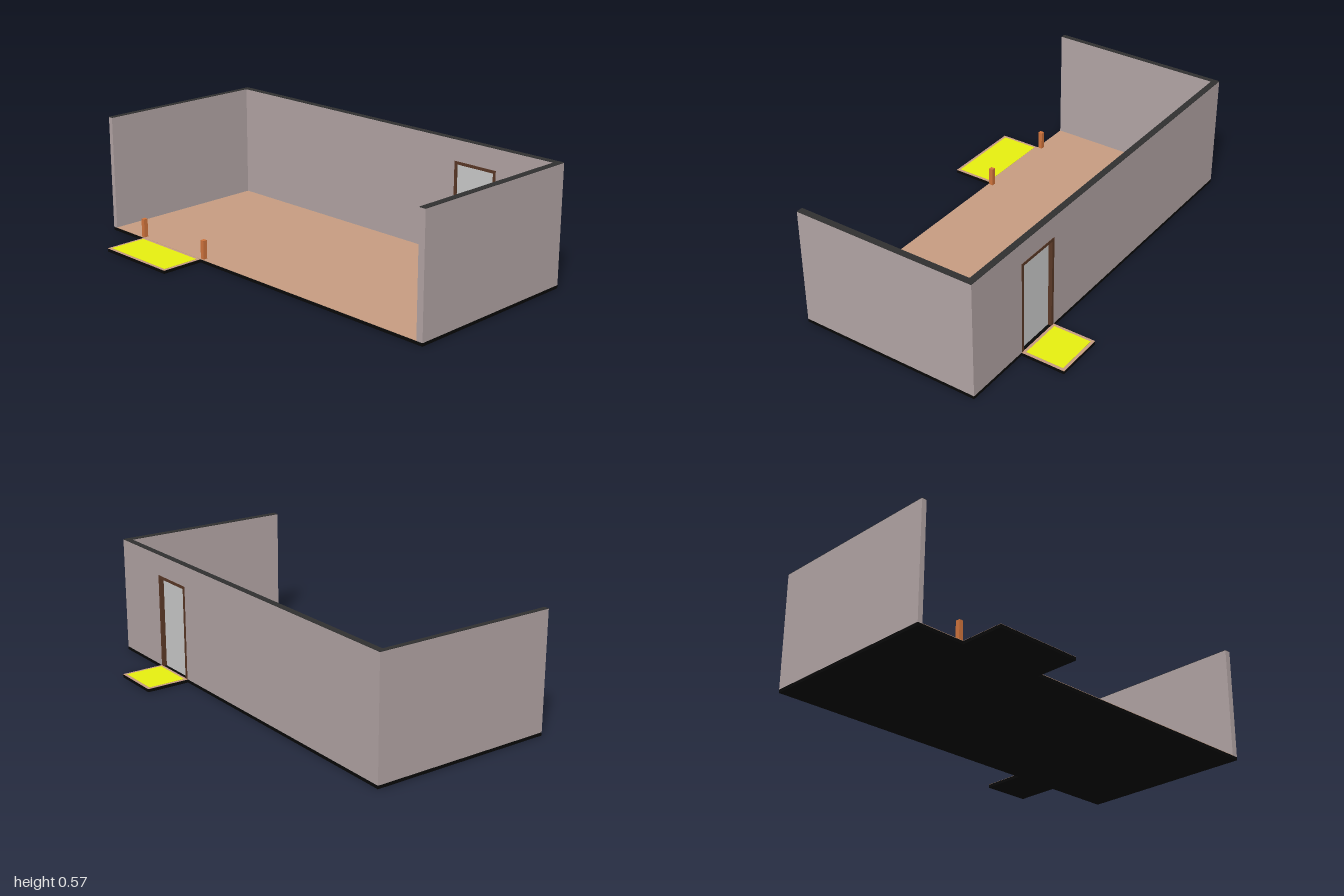
import * as THREE from 'three';

const mat = (color) => new THREE.MeshStandardMaterial({ color });
const M = {
  wall: mat(0xb3a5a5), cap: mat(0x303030), base: mat(0x080808), floor: mat(0xc79d82),
  yellow: mat(0xe8f010), frame: mat(0x5a3826), door: mat(0xcccccc),
  handle: mat(0x46504f), post: mat(0xd0743c),
};

export function createModel() {
  const root = new THREE.Group();

  // Box given by its min and max on every axis
  const box = (name, m, x0, x1, y0, y1, z0, z1, parent = root) => {
    const mesh = new THREE.Mesh(new THREE.BoxGeometry(x1 - x0, y1 - y0, z1 - z0), m);
    mesh.position.set((x0 + x1) / 2, (y0 + y1) / 2, (z0 + z1) / 2);
    mesh.name = name;
    parent.add(mesh);
    return mesh;
  };

  const Z = 0.445, F = 0.015, H = 0.57, CAP = 0.002;
  const xl = -0.976, xr = 0.968, zb = -0.414; // inner wall faces
  const d0 = 0.43, d1 = 0.664, dTop = 0.468;  // door opening

  // Floor: dark slab with a tan covering
  box('floorSlab', M.base, -1, 1, 0, F, -Z, Z);
  box('floorCovering', M.floor, xl, xr, F, F + 0.002, zb, Z);

  // Entrance pads: slab, tan border, yellow centre
  const pad = (name, x0, x1, z0, z1) => {
    const g = new THREE.Group();
    g.name = name;
    root.add(g);
    const b = 0.014;
    box('padSlab', M.base, x0, x1, 0, F, z0, z1, g);
    box('padBorder', M.floor, x0, x1, F, F + 0.001, z0, z1, g);
    box('padCentre', M.yellow, x0 + b, x1 - b, F, F + 0.002, z0 + b, z1 - b, g);
  };
  pad('frontPad', -0.765, -0.345, Z, 0.657);
  pad('backPad', 0.426, 0.666, -0.657, -Z);

  // Side walls with dark tops
  for (const [name, x0, x1] of [['rightWall', -1, xl], ['leftWall', xr, 1]]) {
    box(name, M.wall, x0, x1, F, H - CAP, -Z, Z);
    box(name + 'Top', M.cap, x0, x1, H - CAP, H, -Z, Z);
  }

  // Back wall with the doorway cut out
  const s = new THREE.Shape();
  [[xl, F], [d0, F], [d0, dTop], [d1, dTop], [d1, F], [xr, F], [xr, H - CAP], [xl, H - CAP]]
    .forEach(([x, y], i) => (i ? s.lineTo(x, y) : s.moveTo(x, y)));
  const back = new THREE.Mesh(
    new THREE.ExtrudeGeometry(s, { depth: zb + Z, bevelEnabled: false }), M.wall);
  back.position.z = -Z;
  back.name = 'backWall';
  root.add(back);
  box('backWallTop', M.cap, xl, xr, H - CAP, H, -Z, zb);

  // Door frame, door leaf set near the inner side, and handle
  const door = new THREE.Group();
  door.name = 'door';
  root.add(door);
  const t = 0.014, f0 = -Z - 0.002, f1 = zb + 0.002;
  box('frameJamb', M.frame, d0, d0 + t, F, dTop, f0, f1, door);
  box('frameJamb', M.frame, d1 - t, d1, F, dTop, f0, f1, door);
  box('frameHead', M.frame, d0 + t, d1 - t, dTop - t, dTop, f0, f1, door);
  box('doorLeaf', M.door, d0 + t, d1 - t, F, dTop - t, -0.428, -0.418, door);
  box('handlePlate', M.handle, 0.461, 0.478, 0.187, 0.231, -0.418, -0.413, door);
  const spindle = new THREE.Mesh(new THREE.CylinderGeometry(0.003, 0.003, 0.014, 12), M.handle);
  spindle.rotation.x = Math.PI / 2;
  spindle.position.set(0.47, 0.209, -0.408);
  spindle.name = 'handleSpindle';
  door.add(spindle);
  box('handleLever', M.handle, 0.467, 0.498, 0.206, 0.212, -0.405, -0.4, door);

  // Posts beside the front pad
  for (const x of [-0.773, -0.337]) {
    box('entrancePost', M.post, x - 0.01, x + 0.01, F, 0.107, 0.42, 0.441);
  }
  return root;
}
